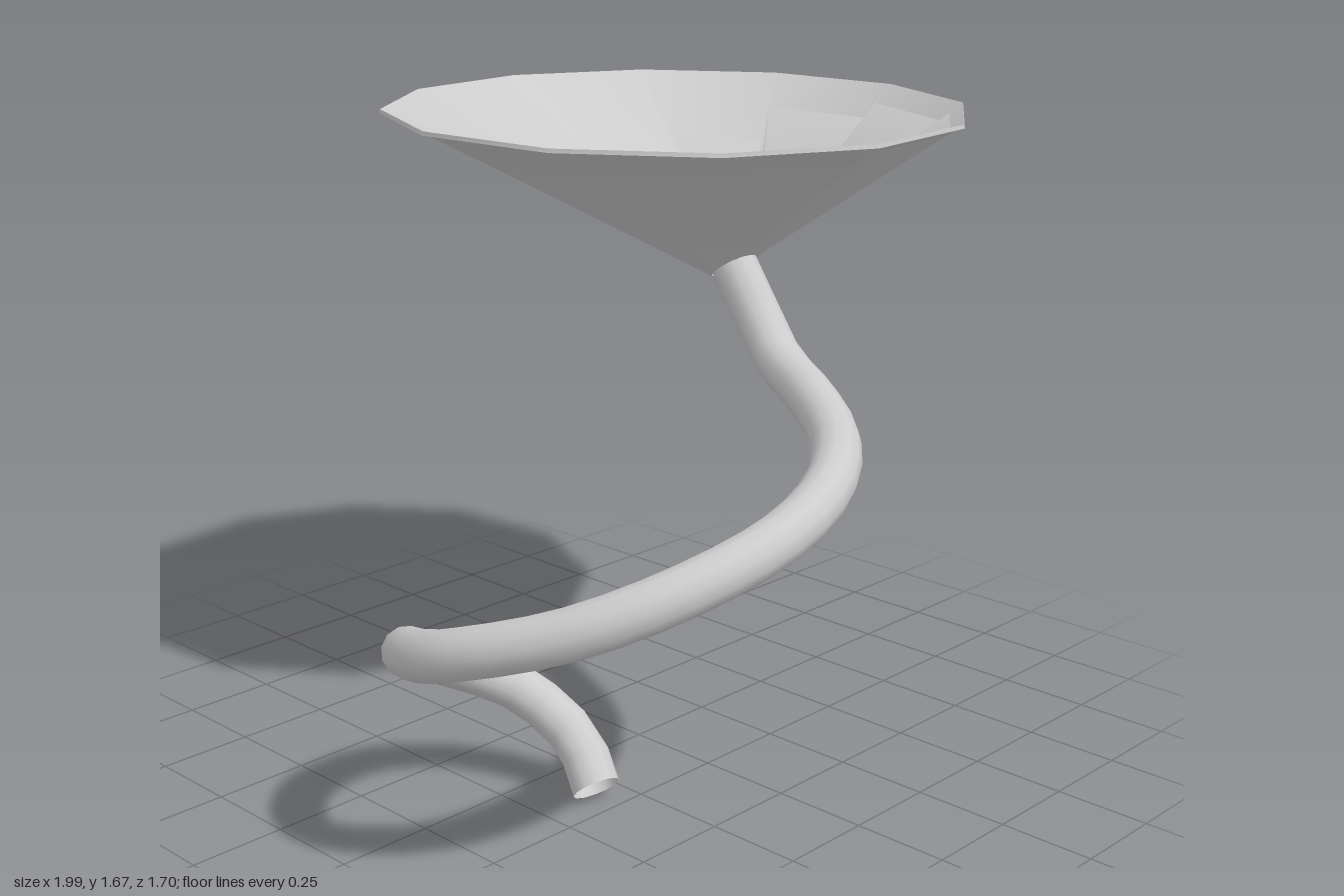
import * as THREE from 'three';
import { toCreasedNormals } from 'three/addons/utils/BufferGeometryUtils.js';

const SIDES = 12;

// Joins rings of points into one surface
function loft(rings) {
  const n = rings[0].length;
  const index = [];
  for (let r = 0; r < rings.length - 1; r++) {
    for (let i = 0; i < n; i++) {
      const j = (i + 1) % n;
      const a = r * n + i, b = r * n + j, c = a + n, d = b + n;
      index.push(a, c, b, b, c, d);
    }
  }
  const geometry = new THREE.BufferGeometry().setFromPoints(rings.flat());
  geometry.setIndex(index);
  return toCreasedNormals(geometry, 0.6);
}

// Twelve-sided ring in a sloped plane: y rises by slopeX and slopeZ
function ring(x, y, z, rx, rz, slopeX, slopeZ) {
  return Array.from({ length: SIDES }, (_, i) => {
    const a = THREE.MathUtils.degToRad(9.1) + (i / SIDES) * Math.PI * 2;
    const dx = Math.cos(a) * rx, dz = Math.sin(a) * rz;
    return new THREE.Vector3(x + dx, y + dx * slopeX + dz * slopeZ, z + dz);
  });
}

export function createModel() {
  const model = new THREE.Group();
  model.name = 'horn';
  const grey = new THREE.MeshStandardMaterial({ color: 0xcccccc, side: THREE.DoubleSide });
  grey.name = 'light grey';

  // Coiled pipe, open at both ends
  const path = new THREE.CatmullRomCurve3([
    [-0.365, 0.045, 0.205], [-0.342, 0.14, 0.115], [-0.41, 0.26, -0.02],
    [-0.575, 0.36, -0.095], [-0.81, 0.495, 0.03], [-0.935, 0.6, 0.3],
    [-0.82, 0.69, 0.57], [-0.64, 0.77, 0.72], [-0.38, 0.845, 0.785],
    [-0.15, 0.9, 0.74], [0.03, 0.95, 0.62], [0.14, 1.0, 0.46],
    [0.225, 1.055, 0.275], [0.25, 1.135, 0.19], [0.26, 1.265, 0.09],
  ].map((p) => new THREE.Vector3(...p)), false, 'centripetal');
  const pipe = new THREE.Mesh(new THREE.TubeGeometry(path, 36, 0.061, SIDES), grey);
  pipe.name = 'coiledPipe';
  model.add(pipe);

  // Off-centre bell: outer wall, thin lip, inner wall
  const throat = (r) => ring(0.26, 1.265, 0.09, r, r * 0.82, -0.03, 0.7);
  const rim = (r, y) => ring(0.242, y, -0.102, r, r, 0.005, -0.012);
  const bell = new THREE.Mesh(loft([
    throat(0.064), rim(0.738, 1.645), rim(0.761, 1.65), rim(0.759, 1.66), throat(0.058),
  ]), grey);
  bell.name = 'bell';
  model.add(bell);

  return model;
}
